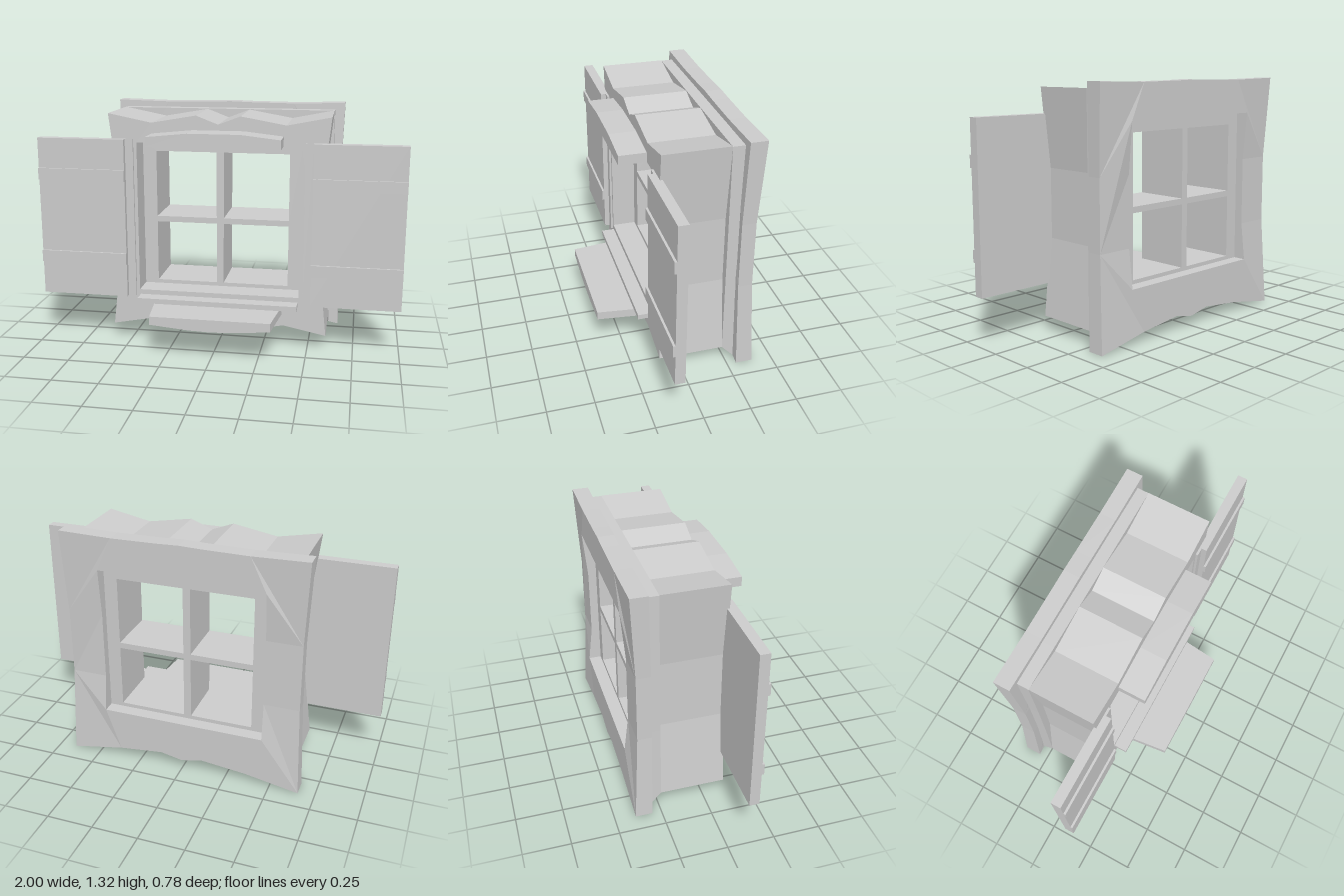
import * as THREE from 'three';

const material = new THREE.MeshStandardMaterial({ color: 0xcccccc, flatShading: true });

// Extrude an outline (with optional holes) from z0 to z1, then move vertices by a rule
function slab(name, points, z0, z1, holes = [], rule = null) {
  const vec = (list) => list.map(([x, y]) => new THREE.Vector2(x, y));
  const shape = new THREE.Shape(vec(points));
  holes.forEach((h) => shape.holes.push(new THREE.Path(vec(h))));
  const geometry = new THREE.ExtrudeGeometry(shape, { depth: z1 - z0, bevelEnabled: false });
  geometry.translate(0, 0, z0);
  if (rule) {
    const p = geometry.attributes.position;
    const mid = (z0 + z1) / 2;
    for (let i = 0; i < p.count; i++) {
      const v = new THREE.Vector3().fromBufferAttribute(p, i);
      rule(v, v.z > mid);
      p.setXYZ(i, v.x, v.y, v.z);
    }
    geometry.computeVertexNormals();
  }
  const mesh = new THREE.Mesh(geometry, material);
  mesh.name = name;
  return mesh;
}

function box(name, x0, x1, y0, y1, z0, z1) {
  const mesh = new THREE.Mesh(new THREE.BoxGeometry(x1 - x0, y1 - y0, z1 - z0), material);
  mesh.position.set((x0 + x1) / 2, (y0 + y1) / 2, (z0 + z1) / 2);
  mesh.name = name;
  return mesh;
}

// Rectangle corners, with extra points up the sides so it can bend
const BENDS = [0.5, 0.87];
function rect(x0, x1, y0, y1, bends = []) {
  return [[x0, y0], [x1, y0], ...bends.map((y) => [x1, y]),
    [x1, y1], [x0, y1], ...bends.map((y) => [x0, y]).reverse()];
}

// Closed outline from the heights of the lower and upper edges, pinched to waist at the sides
function outline(xs, lower, upper, waist) {
  return [...xs.map((x, i) => [x, lower[i]]), ...BENDS.map((y) => [waist, y]),
    ...xs.map((x, i) => [x, upper[i]]).reverse(),
    ...BENDS.map((y) => [-waist, y]).reverse()];
}

export function createModel() {
  const model = new THREE.Group();
  model.name = 'window';

  const inner = [-0.365, -0.12, 0, 0.12, 0.365];
  const xs = [-0.605, ...inner, 0.6];
  const bottom = [0.083, 0.13, 0.083, 0.13, 0.083, 0.13, 0.083];
  const top = [1.287, 1.24, 1.283, 1.237, 1.283, 1.24, 1.287];
  const lowEdge = [0.013, 0.058, 0.085, 0.06, 0.085, 0.058, 0.013];
  const opening = rect(-0.45, 0.447, 0.295, 1.132, BENDS);

  // Deep surround with wavy top and bottom and pinched sides
  model.add(slab('surround', outline(xs, bottom, top, 0.555), -0.235, 0.115, [opening]));

  // Collar behind the surround, its lower edge flaring down to the back frame
  model.add(slab('collar', outline(xs, bottom, xs.map(() => 1.285), 0.6), -0.3, -0.235, [opening],
    (v, front) => {
      if (!front && v.y < 0.2) v.y = lowEdge[xs.findIndex((x) => Math.abs(x - v.x) < 0.01)];
    }));

  // Back frame, bowed inwards at mid height
  const frameLow = [0.004, ...lowEdge.slice(1, 6), 0.004];
  const frameTop = [1.322, 1.315, 1.318, 1.322, 1.318, 1.315, 1.322];
  model.add(slab('backFrame', outline([-0.66, ...inner, 0.655], frameLow, frameTop, 0.64),
    -0.39, -0.3, [opening], (v, front) => {
      if (v.y > 0.4 && v.y < 1) v.z += front ? 0.01 : 0.024;
    }));

  // Window insert with four panes and deep glazing bars
  const panes = [];
  for (const [x0, x1] of [[-0.374, -0.032], [0.008, 0.374]]) {
    for (const [y0, y1] of [[0.316, 0.662], [0.694, 1.067]]) panes.push(rect(x0, x1, y0, y1));
  }
  model.add(slab('glazingBars', rect(-0.45, 0.447, 0.295, 1.132), -0.32, -0.02, panes));

  // Arched hood above the opening
  model.add(slab('hood', [[-0.365, 1.13], [0.35, 1.13], [0.35, 1.182], [0.14, 1.205],
    [-0.14, 1.205], [-0.365, 1.182]], 0.11, 0.26));

  // Sill strip and tapered shelf with a bowed underside
  model.add(box('sillStrip', -0.445, 0.442, 0.24, 0.268, 0.1, 0.19));
  model.add(slab('shelf', [[-0.36, 0.192], [-0.13, 0.174], [0, 0.17], [0.13, 0.174],
    [0.355, 0.192], [0.355, 0.238], [-0.36, 0.238]], 0.11, 0.388, [],
  (v, front) => { if (front) v.x *= 0.91; }));

  // Open shutters, each with a hinge strip and two battens
  for (const side of [-1, 1]) {
    const shutter = new THREE.Group();
    shutter.name = side > 0 ? 'leftShutter' : 'rightShutter';
    const part = (name, near, far, ...rest) => shutter.add(
      box(name, Math.min(side * near, side * far), Math.max(side * near, side * far), ...rest));
    part('panel', 0.512, 1, 0.262, 1.15, 0.102, 0.155);
    part('hingeStrip', 0.468, 0.512, 0.262, 1.15, 0.102, 0.127);
    const drop = side > 0 ? 0.016 : 0;
    for (const y of [0.45, 0.92]) {
      part('batten', 0.512, 1, y - drop, y + 0.064 - drop, 0.15, 0.167);
    }
    model.add(shutter);
  }
  return model;
}
